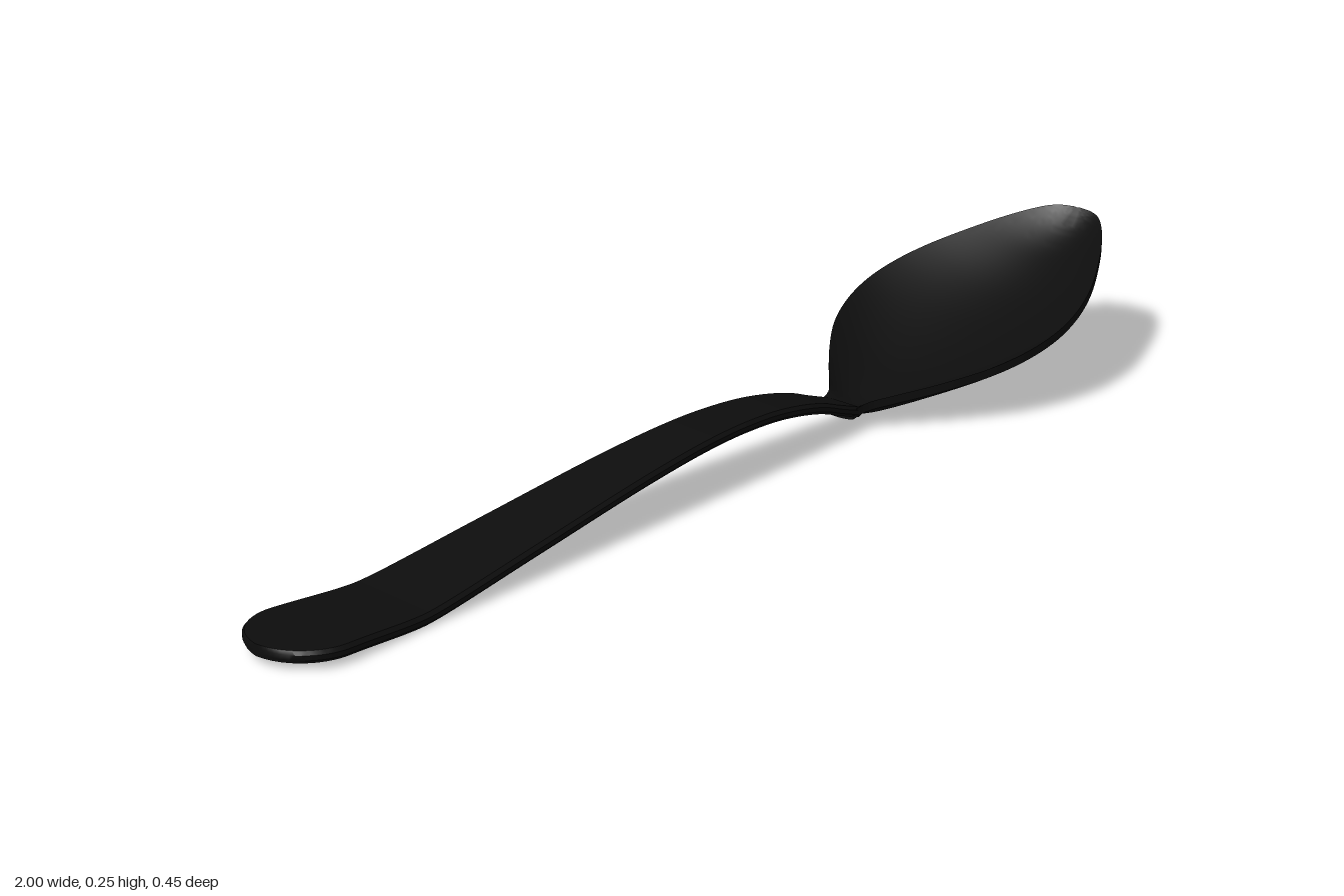
import * as THREE from 'three';
import { toCreasedNormals } from 'three/addons/utils/BufferGeometryUtils.js';

const material = new THREE.MeshStandardMaterial({ color: 0x0d0d0d });
const v = (x, y, z) => new THREE.Vector3(x, y, z);

// Skin a row of closed cross-sections (equal point counts) and cap both ends
function loft(name, rings, crease) {
  const n = rings[0].length, last = rings.length - 1;
  const pos = [], index = [];
  for (const ring of rings) for (const p of ring) pos.push(p.x, p.y, p.z);
  for (let i = 0; i < last; i++) {
    for (let j = 0; j < n; j++) {
      const k = (j + 1) % n;
      const a = i * n + j, b = a + n, c = (i + 1) * n + k, d = i * n + k;
      index.push(a, b, c, a, c, d);
    }
  }
  for (const i of [0, last]) {
    const centre = pos.length / 3;
    const mid = rings[i].reduce((s, p) => s.add(p), v(0, 0, 0)).divideScalar(n);
    pos.push(mid.x, mid.y, mid.z);
    for (let j = 0; j < n; j++) {
      const a = i * n + j, b = i * n + ((j + 1) % n);
      if (i === 0) index.push(centre, a, b);
      else index.push(centre, b, a);
    }
  }
  const geo = new THREE.BufferGeometry();
  geo.setAttribute('position', new THREE.Float32BufferAttribute(pos, 3));
  geo.setIndex(index);
  const mesh = new THREE.Mesh(toCreasedNormals(geo, crease), material);
  mesh.name = name;
  return mesh;
}

// Flat tapering strip with bevelled edges, rounded end and an arched side profile
function makeHandle() {
  const arch = new THREE.CatmullRomCurve3([
    [-1, 0.024], [-0.88, 0.018], [-0.77, 0.011], [-0.73, 0.012], [-0.5, 0.044],
    [-0.25, 0.079], [-0.1, 0.094], [0, 0.097], [0.1, 0.091], [0.2, 0.072],
    [0.26, 0.051], [0.31, 0.034],
  ].map(([x, y]) => v(x, y, 0)));
  const half = 0.01, radius = 0.095, bevel = 0.006;
  const rings = [];
  const steps = 90;
  for (let i = 0; i <= steps; i++) {
    const s = i / steps;
    const p = arch.getPoint(Math.pow(s, 1.6));
    const t = (p.x + 1 - radius) / (1.31 - radius);
    const w = t < 0
      ? Math.max(0.004, Math.sqrt(Math.max(0, radius ** 2 - (t * (1.31 - radius)) ** 2)))
      : THREE.MathUtils.lerp(radius, 0.04, t);
    const inner = Math.max(0.002, w - bevel);
    rings.push([
      [w, half - bevel], [inner, half], [0, half], [-inner, half], [-w, half - bevel],
      [-w, bevel - half], [-inner, -half], [0, -half], [inner, -half], [w, bevel - half],
    ].map(([z, y]) => v(p.x, p.y + y, z)));
  }
  return loft('handle', rings, 0.6);
}

// Leaf-shaped hollow bowl: its rim lies in a sloping plane
function makeBowl() {
  // x, half width, overall depth below the rim
  const outline = new THREE.CatmullRomCurve3([
    [0.29, 0.038, 0.02], [0.32, 0.045, 0.032], [0.36, 0.078, 0.048], [0.42, 0.13, 0.06],
    [0.5, 0.186, 0.071], [0.57, 0.214, 0.075], [0.64, 0.224, 0.076], [0.71, 0.216, 0.075],
    [0.78, 0.193, 0.071], [0.86, 0.152, 0.062], [0.92, 0.115, 0.053], [0.96, 0.084, 0.042],
    [0.985, 0.058, 0.029], [0.996, 0.034, 0.02], [1, 0.006, 0.017],
  ].map(([x, w, d]) => v(x, w, d)));
  const wall = 0.016, across = 24;
  const rings = [];
  for (let i = 0; i <= 70; i++) {
    const p = outline.getPoint(i / 70);
    const rim = 0.045 + (p.x - 0.3) * 0.3;
    const hollow = Math.max(0, p.z - wall);
    const inside = [], outside = [];
    for (let j = 0; j <= across; j++) {
      const u = Math.cos((Math.PI * j) / across);
      const y = rim - hollow * (1 - u * u);
      inside.push(v(p.x, y, u * p.y));
      outside.unshift(v(p.x, y - wall, u * p.y));
    }
    rings.push([...inside, ...outside]);
  }
  return loft('bowl', rings, 0.7);
}

export function createModel() {
  const spoon = new THREE.Group();
  spoon.name = 'spoon';
  spoon.add(makeHandle(), makeBowl());
  return spoon;
}
